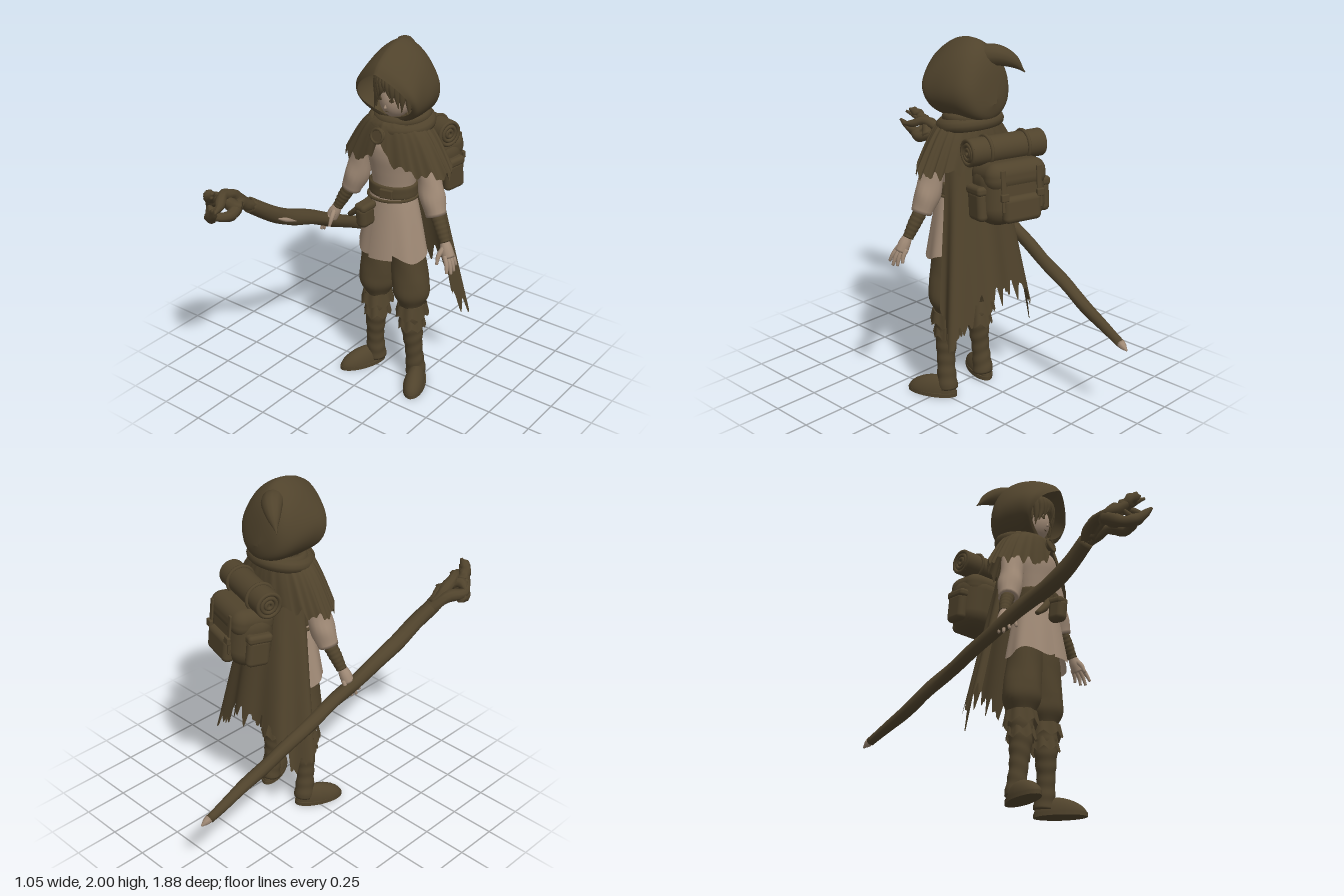
import * as THREE from 'three';
import { RoundedBoxGeometry } from 'three/addons/geometries/RoundedBoxGeometry.js';

const mat = (name, color) => new THREE.MeshStandardMaterial({ name, color, side: THREE.DoubleSide });
const brown = mat('dark olive brown', 0x50432c);
const tan = mat('pale tan', 0xa08a76);
const CX = 0.085; // body axis

// Grid surface from a rule fn(u, v) -> [x, y, z]; u may wrap round
function surf(fn, nu, nv, closed = true) {
  const pos = [], idx = [], cols = closed ? nu : nu + 1;
  for (let j = 0; j <= nv; j++) for (let i = 0; i < cols; i++) pos.push(...fn(i / nu, j / nv));
  for (let j = 0; j < nv; j++) for (let i = 0; i < nu; i++) {
    const a = j * cols + i, b = j * cols + (i + 1) % cols, c = a + cols, d = b + cols;
    idx.push(a, b, d, a, d, c);
  }
  const g = new THREE.BufferGeometry();
  g.setAttribute('position', new THREE.Float32BufferAttribute(pos, 3));
  g.setIndex(idx);
  g.computeVertexNormals();
  return g;
}

// Smooth value through evenly spaced stations
function spline(list, t) {
  const f = t * (list.length - 1), i = Math.min(Math.floor(f), list.length - 2), k = f - i;
  const [a, b, c, d] = [-1, 0, 1, 2].map(o => list[Math.max(0, Math.min(list.length - 1, i + o))]);
  return b + 0.5 * k * (c - a + k * (2 * a - 5 * b + 4 * c - d + k * (3 * (b - c) + d - a)));
}

// Tapered tube with closed ends; bump(t, angle) scales the radius
function taper(pts, radii, n = 16, sides = 10, bump = () => 1) {
  const curve = new THREE.CatmullRomCurve3(pts.map(p => new THREE.Vector3(...p)));
  const fr = curve.computeFrenetFrames(n);
  return surf((u, v) => {
    const row = Math.round(v * (n + 2)), k = Math.max(0, Math.min(n, row - 1)), t = k / n, a = u * Math.PI * 2;
    const r = row === 0 || row === n + 2 ? 0 : Math.max(0, spline(radii, t)) * bump(t, a);
    return curve.getPointAt(t).addScaledVector(fr.normals[k], r * Math.cos(a))
      .addScaledVector(fr.binormals[k], r * Math.sin(a)).toArray();
  }, sides, n + 2);
}

const lathe = (pts, seg = 28) => new THREE.LatheGeometry(
  new THREE.SplineCurve(pts.map(p => new THREE.Vector2(...p))).getPoints(pts.length * 5), seg);
const tri = x => Math.abs((x - Math.floor(x)) * 2 - 1); // zigzag 0..1
const rag = a => 0.6 * tri(a * 2.7 + 0.3 * Math.sin(a * 3)) + 0.4 * tri(a * 5.1 + 0.4);

export function createModel() {
  const root = new THREE.Group();
  const add = (name, geo, m, p = [0, 0, 0], parent = root, r = [0, 0, 0], s = [1, 1, 1]) => {
    const o = new THREE.Mesh(geo, m);
    o.name = name;
    o.position.set(...p); o.rotation.set(...r); o.scale.set(...s);
    parent.add(o);
    return o;
  };
  const box = (w, h, d, r = 0.01) => new RoundedBoxGeometry(w, h, d, 4, r);

  // Legs and arms, one set per side
  for (const s of [-1, 1]) {
    const side = s > 0 ? 'left' : 'right';
    const leg = new THREE.Group();
    leg.name = side + 'Leg';
    root.add(leg);
    const P = (x, y, z) => [CX + s * x, y, z];
    add('trouserLeg', taper([P(0.118, 0.49, -0.018), P(0.115, 0.61, -0.018), P(0.103, 0.73, -0.015), P(0.095, 0.84, -0.01), P(0.085, 0.95, -0.01)],
      [0.066, 0.103, 0.105, 0.1, 0.095, 0.092, 0.085], 30, 24, (t, a) => 1 + 0.02 * Math.sin(a * 4 + t * 9)), brown, [0, 0, 0], leg);
    // boot shaft with slouched wrinkles
    add('bootShaft', taper([P(0.142, 0.04, -0.04), P(0.138, 0.18, -0.025), P(0.127, 0.34, -0.018), P(0.12, 0.5, -0.02)],
      [0.058, 0.05, 0.062, 0.07], 44, 18, (t, a) => 1 + 0.035 * Math.sin(t * 40 + 1.5 * Math.sin(a + s))), brown, [0, 0, 0], leg);
    // two scalloped cuffs
    for (const [top, len, r] of [[0.505, 0.085, 0.076], [0.425, 0.085, 0.061]])
      add('bootCuff', surf((u, v) => {
        const a = u * Math.PI * 2, q = r + 0.014 * v + 0.004 * Math.sin(a * 7);
        return [q * Math.cos(a), top - v * (len - 0.03 * tri(u * 7)), q * 1.1 * Math.sin(a)];
      }, 56, 4), brown, [CX + s * 0.121, 0, -0.02], leg);
    // foot: an ellipsoid flattened at the sole
    const foot = new THREE.SphereGeometry(1, 24, 16), fp = foot.attributes.position;
    for (let i = 0; i < fp.count; i++) {
      const z = fp.getZ(i), y = Math.max(fp.getY(i), 0);
      fp.setXYZ(i, fp.getX(i) * (0.058 + 0.008 * z), 0.015 + y * (0.092 - 0.02 * z), z * 0.142);
    }
    foot.computeVertexNormals();
    const fpos = [CX + s * 0.186, 0, 0.035], turn = [0, s * 0.43, 0];
    add('foot', foot, brown, fpos, leg, turn);
    add('sole', new THREE.CylinderGeometry(1, 1, 0.022, 28), brown, [fpos[0], 0.011, fpos[2]], leg, turn, [0.062, 1, 0.145]);

    const arm = new THREE.Group();
    arm.name = side + 'Arm';
    root.add(arm);
    add('sleeve', taper([P(0.17, 1.47, -0.03), P(0.212, 1.34, -0.02), P(0.243, 1.22, -0.012), P(0.283, 1.105, 0)],
      [0.06, 0.064, 0.064, 0.069, 0.055], 24, 16, (t, a) => 1 + 0.03 * Math.sin(a * 3 + t * 14)), tan, [0, 0, 0], arm);
    add('bracer', taper([P(0.285, 1.12, 0), P(0.322, 1.055, 0.012), P(0.36, 0.98, 0.025)],
      [0.038, 0.036, 0.029], 24, 12, t => 1 + 0.04 * Math.sin(t * 40)), brown, [0, 0, 0], arm);
    add('palm', taper([P(0.355, 0.995, 0.025), P(0.375, 0.95, 0.035), P(0.395, 0.905, 0.042)],
      [0.023, 0.033, 0.034], 10, 12), tan, [0, 0, 0], arm);
    for (let i = 0; i < 4; i++) {
      const z = 0.07 - i * 0.021, l = [0.08, 0.095, 0.09, 0.07][i];
      add('finger', taper([P(0.388, 0.925, z), P(0.388 + l * 0.3, 0.925 - l * 0.5, z + 0.016 - i * 0.004), P(0.388 + l * 0.45, 0.925 - l, z + 0.032 - i * 0.011)],
        [0.012, 0.012, 0.008], 8, 8), tan, [0, 0, 0], arm);
    }
    add('thumb', taper([P(0.368, 0.96, 0.05), P(0.36, 0.925, 0.085), P(0.362, 0.88, 0.105)], [0.015, 0.013, 0.008], 8, 8), tan, [0, 0, 0], arm);
  }

  // Tunic body and pleated skirt with split front panel
  add('tunic', lathe([[0.122, 1.14], [0.125, 1.22], [0.14, 1.31], [0.155, 1.4], [0.14, 1.47], [0.06, 1.53]]), tan, [CX, 0, -0.01], root, [0, 0, 0], [1, 1, 0.76]);
  add('tunicSkirt', surf((u, v) => {
    const a = u * Math.PI * 2, f = 1 + 0.025 * v * Math.sin(a * 8 + 0.6);
    const hem = 0.825 + 0.02 * Math.sin(a * 4) + 0.03 * Math.pow(Math.abs(Math.cos(a)), 12), k = Math.pow(v, 0.85);
    return [CX + 0.003 + (0.126 + 0.082 * k) * f * Math.sin(a), 1.19 + (hem - 1.19) * v, (0.098 + 0.05 * k) * f * Math.cos(a)];
  }, 96, 12), tan);
  add('frontPanel', surf((u, v) => {
    const a = -0.3 + u * 0.75;
    return [CX + 0.01 + (0.13 + 0.08 * v) * Math.sin(a), 1.18 - v * (0.37 - 0.02 * u), (0.106 + 0.055 * v) * Math.cos(a)];
  }, 16, 8, false), tan);

  // Belt, buckle, pouch and slanted sheath
  add('belt', lathe([[0.128, 1.165], [0.14, 1.172], [0.141, 1.2], [0.14, 1.23], [0.128, 1.238]]), brown, [CX, 0, -0.005], root, [0, 0, 0], [1, 1, 0.82]);
  add('buckle', box(0.075, 0.052, 0.02, 0.006), brown, [0.125, 1.203, 0.115], root, [0, 0.2, 0]);
  add('lowerBelt', new THREE.TorusGeometry(0.14, 0.009, 8, 40), brown, [CX, 1.155, 0], root, [Math.PI / 2, 0.06, 0], [1, 0.84, 1]);
  add('beltPouch', box(0.07, 0.125, 0.1, 0.03), brown, [0.03, 1.075, 0.175], root, [0.1, -0.15, 0]);
  add('pouchFlap', box(0.076, 0.045, 0.106, 0.02), brown, [0.03, 1.13, 0.172], root, [0.1, -0.15, 0]);
  add('sheath', taper([[0.02, 1.15, 0.12], [-0.04, 1.08, 0.135], [-0.11, 1.02, 0.13]], [0.016, 0.021, 0.014], 10, 10), brown);

  // Long tattered cloak hanging behind
  add('cloak', surf((u, v) => {
    const a = (u * 2 - 1) * 1.75, e = Math.abs(a);
    const hem = 0.73 - 0.23 * Math.exp(-Math.pow((e - 1.2) / 0.45, 2)) - 0.15 * rag(a * 1.2 + 0.2) + 0.06 * Math.max(0, e - 1.5);
    const y = 1.46 + (hem - 1.46) * v, q = (1.46 - y) / 0.95;
    const f = 1 + (0.03 + 0.06 * q) * Math.sin(a * 7) * Math.min(1, v * 3);
    return [CX + (0.16 + 0.165 * q) * f * Math.sin(a), y, -0.08 - 0.1 * q - (0.11 + 0.065 * q) * f * Math.cos(a)];
  }, 200, 20, false), brown);

  // Shoulder cape with ragged hem, open below the clasp
  add('shoulderCape', surf((u, v) => {
    const a = (u * 2 - 1) * Math.PI, e = Math.abs(a), k = Math.sqrt(v);
    const hem = 1.38 + 0.11 * Math.exp(-e * e / 0.045) + 0.015 * Math.cos(a * 2) - 0.075 * rag(a * 0.95 + 0.45);
    const f = 1 + 0.015 * v * Math.sin(a * 6), flare = 0.025 * v * v;
    return [CX - 0.005 + (0.12 + 0.19 * k + flare) * f * Math.sin(a), 1.585 + (hem - 1.585) * v, -0.05 + (0.115 + 0.05 * k) * f * Math.cos(a)];
  }, 160, 16), brown);
  add('collarFold', new THREE.TorusGeometry(0.155, 0.036, 10, 40), brown, [CX, 1.56, -0.075], root, [Math.PI / 2 + 0.16, 0, 0], [1, 0.88, 1]);
  add('collarFold', new THREE.TorusGeometry(0.132, 0.03, 10, 40), brown, [CX, 1.59, -0.085], root, [Math.PI / 2 + 0.1, 0.08, 0], [1, 0.9, 1]);
  add('neck', new THREE.CylinderGeometry(0.05, 0.07, 0.16, 16), brown, [CX, 1.56, -0.03]);
  add('clasp', new THREE.CylinderGeometry(0.036, 0.04, 0.02, 24), brown, [0.065, 1.52, 0.108], root, [Math.PI / 2 - 0.2, 0, 0]);
  add('claspRim', new THREE.TorusGeometry(0.037, 0.008, 8, 28), brown, [0.065, 1.52, 0.116], root, [-0.2, 0, 0]);

  // Head, face and hair
  add('face', new THREE.SphereGeometry(1, 28, 20), tan, [0.09, 1.705, -0.02], root, [0, 0, 0], [0.085, 0.112, 0.1]);
  add('nose', new THREE.ConeGeometry(0.008, 0.028, 8), tan, [0.09, 1.682, 0.076], root, [-0.2, 0, 0]);
  add('mouth', box(0.022, 0.004, 0.006, 0.001), brown, [0.09, 1.645, 0.063]);
  for (const s of [-1, 1])
    add('eye', new THREE.SphereGeometry(1, 12, 8), brown, [0.09 + s * 0.036, 1.712, 0.072], root, [0, s * 0.4, 0], [0.014, 0.01, 0.004]);
  add('hairCap', new THREE.SphereGeometry(0.114, 24, 16), brown, [0.09, 1.765, -0.05]);
  for (let i = -5; i <= 5; i++) {
    const e = Math.abs(i), x = 0.09 + i * 0.02, z = 0.094 - e * e * 0.0028;
    add('hairLock', taper([[0.09 + i * 0.009, 1.86, 0.02], [x - i * 0.002, 1.82, z - 0.008], [x + 0.006, 1.785 - e * 0.015, z], [x + (i % 2) * 0.014, 1.755 - e * 0.026, z - 0.004]],
      [0.02, 0.022, 0.017, 0.002], 10, 7), brown);
  }

  // Hood: loops running from the peaked face opening to the back
  const top = [1.875, 1.925, 1.985, 2.0, 1.96, 1.86, 1.68], bot = [1.605, 1.575, 1.56, 1.56, 1.57, 1.605, 1.68];
  const wide = [0.165, 0.19, 0.192, 0.187, 0.167, 0.115, 0], zTop = [0.168, 0.125, 0.02, -0.09, -0.17, -0.22, -0.25];
  const zBot = [0.03, 0.02, -0.03, -0.1, -0.185, -0.235, -0.25];
  add('hood', surf((u, v) => {
    const a = u * Math.PI * 2, c = Math.cos(a), T = spline(top, v), B = spline(bot, v);
    const peak = 0.55 * (1 - v), k = (1 - peak) * (1 + c) / 2 + peak * Math.abs(1 - 2 * u);
    const fold = 1 + 0.012 * Math.sin(a * 5 + v * 9);
    return [0.09 - 0.025 * v * k + spline(wide, v) * Math.sin(a) * (1 - (0.24 - 0.12 * v) * c) * fold, B + (T - B) * k,
      spline(zBot, v) + (spline(zTop, v) - spline(zBot, v)) * k];
  }, 64, 30), brown);
  add('hoodTip', taper([[0.07, 1.9, -0.12], [0.02, 1.915, -0.19], [-0.045, 1.885, -0.245], [-0.108, 1.82, -0.283]], [0.06, 0.056, 0.036, 0.002], 16, 12), brown);

  // Backpack with flap, pockets, straps and bedroll, turned slightly
  const pack = new THREE.Group();
  pack.name = 'backpack';
  pack.position.set(0.085, 1.255, -0.355);
  pack.rotation.set(0.1, -0.28, 0, 'YXZ');
  root.add(pack);
  add('packBody', box(0.37, 0.33, 0.24, 0.1), brown, [0, -0.01, 0], pack);
  add('packFlap', box(0.35, 0.15, 0.24, 0.065), brown, [0, 0.085, -0.008], pack);
  add('rearPocket', box(0.22, 0.14, 0.07, 0.03), brown, [0, -0.08, -0.115], pack);
  for (const s of [-1, 1]) {
    add('sidePocket', box(0.06, 0.16, 0.13, 0.028), brown, [s * 0.185, -0.06, 0], pack);
    add('sidePocketFlap', box(0.065, 0.05, 0.14, 0.02), brown, [s * 0.186, 0.02, 0], pack);
    add('packStrap', box(0.028, 0.22, 0.012, 0.005), brown, [s * 0.105, 0.02, -0.13], pack);
    add('packBuckle', box(0.045, 0.04, 0.022, 0.006), brown, [s * 0.105, -0.01, -0.138], pack);
    add('rollStrap', new THREE.TorusGeometry(0.076, 0.01, 8, 28), brown, [s * 0.11, 0.21, 0.03], pack, [0, Math.PI / 2, 0]);
    // rolled blanket ends
    for (const r of [0.063, 0.04, 0.018])
      add('rollEnd', new THREE.TorusGeometry(r, 0.011, 8, 24), brown, [s * 0.21, 0.21, 0.03], pack, [0, Math.PI / 2, 0]);
  }
  add('bedroll', new THREE.CylinderGeometry(0.073, 0.073, 0.416, 28), brown, [0, 0.21, 0.03], pack, [0, 0, Math.PI / 2]);

  // Gnarled staff held in the right hand
  const staff = new THREE.Group();
  staff.name = 'staff';
  root.add(staff);
  add('staffShaft', taper([[-0.215, 0.45, -0.89], [-0.24, 0.555, -0.65], [-0.278, 0.7, -0.35], [-0.32, 0.865, 0], [-0.345, 0.965, 0.22], [-0.365, 1.07, 0.45], [-0.405, 1.18, 0.6]],
    [0.024, 0.034, 0.036, 0.037, 0.04, 0.045, 0.042], 70, 12,
    (t, a) => 1 + 0.06 * Math.sin(t * 31 + a) + 0.07 * Math.sin(a * 3 + t * 17)), brown, [0, 0, 0], staff);
  add('staffTip', taper([[-0.215, 0.452, -0.888], [-0.211, 0.437, -0.915], [-0.208, 0.425, -0.938]], [0.023, 0.018, 0.005], 6, 8), tan, [0, 0, 0], staff);
  add('bareWood', taper([[-0.34, 1.07, 0.48], [-0.32, 1.035, 0.41], [-0.315, 1.0, 0.34]], [0.004, 0.012, 0.004], 10, 8), tan, [0, 0, 0], staff);
  // claw of twisted branches
  const branches = [
    [[-0.4, 1.17, 0.59], [-0.46, 1.24, 0.68], [-0.49, 1.24, 0.78], [-0.44, 1.29, 0.84], [-0.36, 1.35, 0.91]],
    [[-0.4, 1.17, 0.59], [-0.38, 1.23, 0.7], [-0.35, 1.21, 0.8], [-0.4, 1.22, 0.86], [-0.47, 1.27, 0.83]],
    [[-0.41, 1.19, 0.62], [-0.42, 1.28, 0.72], [-0.4, 1.3, 0.8], [-0.36, 1.28, 0.86], [-0.34, 1.27, 0.92]],
    [[-0.49, 1.23, 0.74], [-0.48, 1.2, 0.8], [-0.43, 1.2, 0.86], [-0.38, 1.24, 0.9], [-0.335, 1.3, 0.935]],
    [[-0.36, 1.22, 0.72], [-0.4, 1.26, 0.77], [-0.46, 1.28, 0.79], [-0.51, 1.25, 0.77]],
    [[-0.44, 1.28, 0.82], [-0.42, 1.33, 0.87], [-0.37, 1.365, 0.89]]];
  for (const b of branches)
    add('staffBranch', taper(b, [0.036, 0.032, 0.03, 0.026, 0.008], 20, 9, (t, a) => 1 + 0.14 * Math.sin(t * 19 + a * 2)), brown, [0, 0, 0], staff);
  return root;
}
